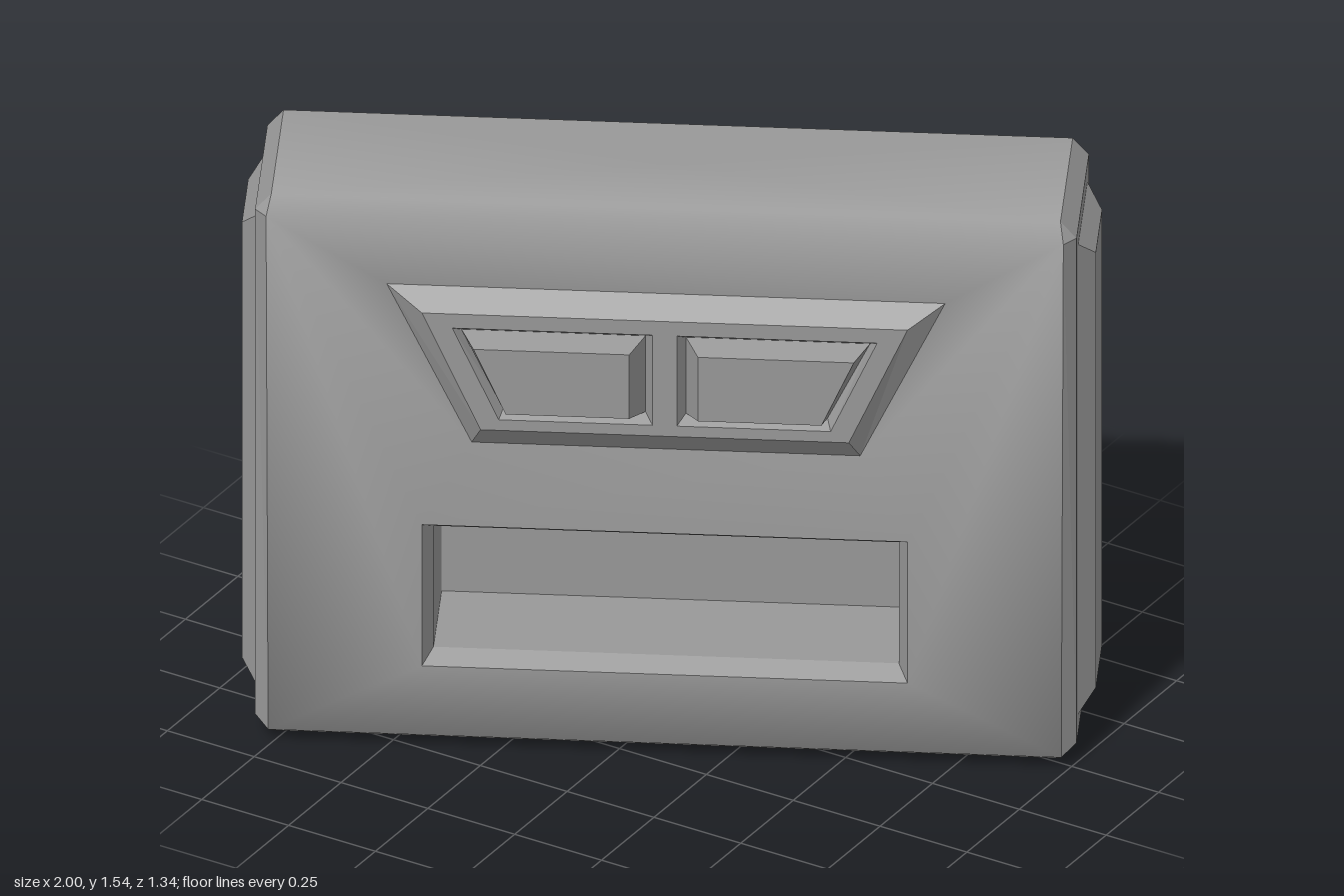
import * as THREE from 'three';

const material = new THREE.MeshStandardMaterial({ color: 0x999999 });

// Geometry from a list of polygons (each an array of [x, y, z], counter-clockwise)
function fromPolys(polys) {
  const pos = [];
  for (const p of polys) {
    for (let i = 1; i < p.length - 1; i++) pos.push(...p[0], ...p[i], ...p[i + 1]);
  }
  const g = new THREE.BufferGeometry();
  g.setAttribute('position', new THREE.Float32BufferAttribute(pos, 3));
  g.computeVertexNormals();
  return g;
}

// Averages the normals of touching corners, weighted by corner angle
function soften(g) {
  const { position, normal } = g.attributes;
  const at = (i) => new THREE.Vector3().fromBufferAttribute(position, i);
  const key = (i) => at(i).toArray().map((v) => v.toFixed(4)).join();
  const sums = {};
  for (let i = 0; i < position.count; i++) {
    const first = i - (i % 3);
    const a = at(first + ((i + 1) % 3)).sub(at(i));
    const b = at(first + ((i + 2) % 3)).sub(at(i));
    const n = new THREE.Vector3().fromBufferAttribute(normal, i);
    const sum = (sums[key(i)] ??= new THREE.Vector3());
    sum.addScaledVector(n, a.angleTo(b));
  }
  for (let i = 0; i < position.count; i++) {
    normal.setXYZ(i, ...sums[key(i)].clone().normalize());
  }
  return g;
}

// Quads joining two loops of equal length
const strip = (a, b) => a.map((p, i) => {
  const j = (i + 1) % a.length;
  return [p, a[j], b[j], b[i]];
});

// Triangles from a loop to one centre point
const fan = (loop, centre) => loop.map((p, i) => [p, loop[(i + 1) % loop.length], centre]);

// Stacked loops closed by a cap on the last one
function loft(loops) {
  const polys = [];
  for (let i = 1; i < loops.length; i++) polys.push(...strip(loops[i - 1], loops[i]));
  polys.push(loops[loops.length - 1]);
  return fromPolys(polys);
}

// Four-sided loop: left/right at the bottom, left/right at the top
const quad = (bl, br, tl, tr, y0, y1, z) => [[bl, y0, z], [br, y0, z], [tr, y1, z], [tl, y1, z]];
const trapezoid = (b, t, y0, y1, z) => quad(-b, b, -t, t, y0, y1, z);
const mirror = (loop) => loop.map(([x, y, z]) => [-x, y, z]).reverse();

function add(parent, name, geometry) {
  const mesh = new THREE.Mesh(geometry, material);
  mesh.name = name;
  parent.add(mesh);
  return mesh;
}

export function createModel() {
  const group = new THREE.Group();
  group.name = 'panelBlock';
  const block = new THREE.Group();
  block.name = 'turnedBlock';
  block.rotation.y = THREE.MathUtils.degToRad(27);
  group.add(block);

  // Key outlines on the front
  const frontEdge = trapezoid(0.98, 0.985, 0.035, 1.488, 0.25);
  const plaqueBase = trapezoid(0.48, 0.69, 0.845, 1.285, 0.207);
  const plaqueTop = trapezoid(0.455, 0.6, 0.905, 1.23, 0.25);
  const mouthRim = trapezoid(0.6, 0.6, 0.23, 0.63, 0.25);

  // Chamfered shell, made of loops from back to front
  const octagon = (z) => [
    [-0.975, 0.01, z], [0.975, 0.01, z], [1.015, 0.055, z], [1.015, 1.485, z],
    [0.975, 1.53, z], [-0.975, 1.53, z], [-1.015, 1.485, z], [-1.015, 0.055, z],
  ];
  const doubled = ([a, b, c, d]) => [a, b, b, c, c, d, d, a];
  const backEdge = trapezoid(0.97, 0.97, 0.05, 1.488, -0.258);
  const backChamfer = strip(doubled(backEdge), octagon(-0.21));
  const sides = strip(octagon(-0.21), octagon(0.21));
  const frontChamfer = strip(octagon(0.21), doubled(frontEdge));
  const isHard = (_, i) => i !== 0 && i !== 4;
  add(block, 'backAndEnds', fromPolys([
    [...backEdge].reverse(), ...backChamfer,
    ...sides.filter(isHard), ...frontChamfer.filter(isHard),
  ]));

  // Softly shaded front, dipping towards the plaque, running into a slightly crowned top and bottom
  const [BL, BR, TR, TL] = frontEdge;
  const [pbl, pbr, ptr, ptl] = plaqueBase;
  const [mbl, mbr, mtr, mtl] = mouthRim;
  add(block, 'frontTopAndBottom', soften(fromPolys([
    ...fan(sides[0], [0, 0, 0]), ...fan(sides[4], [0, 1.536, 0]),
    frontChamfer[0], frontChamfer[4],
    [TL, ptl, ptr, TR], [BL, BR, mbr, mbl], [mtl, mtr, pbr, pbl],
    [TL, BL, mbl, mtl, pbl, ptl],
    [TR, ptr, pbr, mtr, mbr, BR],
  ])));

  // Raised plaque with two window openings
  add(block, 'plaqueBevel', fromPolys(strip(plaqueBase, plaqueTop)));
  const window = [
    quad(0.03, 0.41, 0.03, 0.525, 0.935, 1.19, 0.25),
    quad(0.05, 0.4, 0.05, 0.505, 0.953, 1.168, 0.215),
    quad(0.085, 0.39, 0.085, 0.47, 0.972, 1.153, 0.287),
  ];
  const windows = [window, window.map(mirror)];
  const to2D = (loop) => loop.map(([x, y]) => new THREE.Vector2(x, y));
  const face = new THREE.Shape(to2D(plaqueTop));
  windows.forEach((w) => face.holes.push(new THREE.Path(to2D(w[0]))));
  add(block, 'plaqueFace', new THREE.ShapeGeometry(face).translate(0, 0, 0.25));

  // Sunken wells with a raised block in each
  windows.forEach((w, i) => add(block, i ? 'rightWindow' : 'leftWindow', loft(w)));

  // Deep slot with bevelled rim
  add(block, 'slot', loft([
    mouthRim,
    trapezoid(0.575, 0.575, 0.257, 0.6, 0.2),
    trapezoid(0.575, 0.575, 0.257, 0.6, -0.08),
  ]));

  for (const s of [-1, 1]) {
    const side = s > 0 ? 'left' : 'right';
    // Tabs hanging from the slot's ceiling
    const tab = add(block, side + 'SlotTab', loft([
      trapezoid(0.15, 0.15, -0.06, 0.06, 0),
      trapezoid(0.125, 0.125, -0.04, 0.04, 0.018),
    ]));
    tab.rotation.x = Math.PI / 2;
    tab.position.set(s * 0.28, 0.601, 0.13);

    // Raised panels on the two ends
    const panel = add(block, side + 'EndPanel', loft([
      trapezoid(0.16, 0.16, 0.105, 1.44, 1.013),
      trapezoid(0.107, 0.107, 0.155, 1.388, 1.055),
    ]));
    panel.rotation.y = s * Math.PI / 2;
  }
  return group;
}
